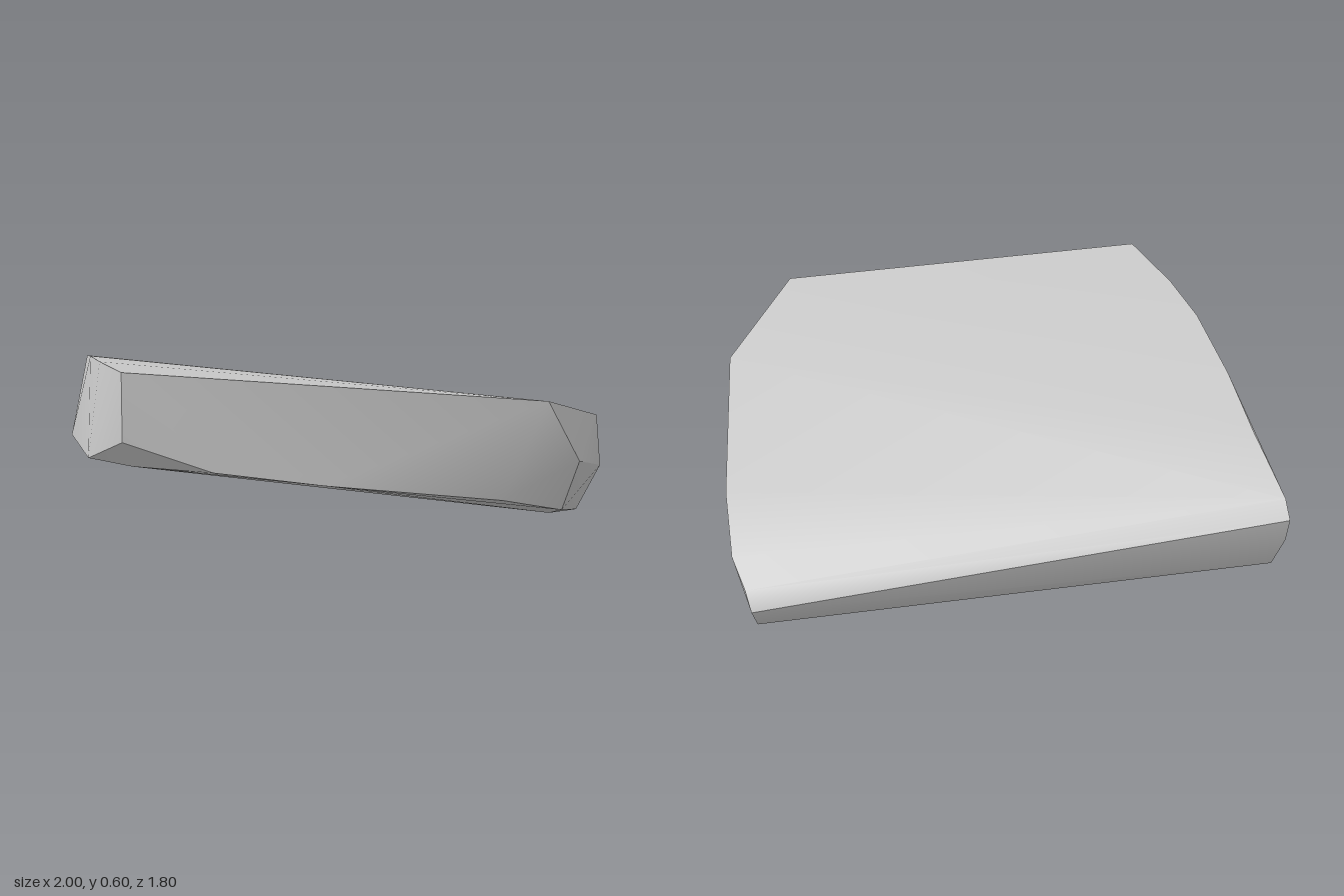
import * as THREE from 'three';
import { ConvexGeometry } from 'three/addons/geometries/ConvexGeometry.js';
import { toCreasedNormals } from 'three/addons/utils/BufferGeometryUtils.js';

const vectors = (rows) => rows.map(([x, y, z]) => new THREE.Vector3(x, y, z));

// A tilted slab of rock: the hull of the corner lines that bound its faces
export function createModel() {
  const stone = new THREE.MeshStandardMaterial({ color: 0xc9c9c9 });
  stone.name = 'light grey stone';

  // upper rim, from the front corner along the left side to the back tip
  const leftRim = vectors([
    [-0.04, 0.6, 0.9], [-0.26, 0.597, 0.7], [-0.42, 0.588, 0.53], [-0.62, 0.555, 0.28],
    [-0.79, 0.518, 0.045], [-0.97, 0.47, -0.18],
  ]);
  // upper rim, from the right corner to the back
  const rightRim = vectors([
    [0.94, 0.52, 0.3], [0.91, 0.43, -0.12], [0.6, 0.3, -0.63], [0.46, 0.23, -0.82],
  ]);
  // rounded back edge, one profile at each end
  const backLeft = vectors([
    [-1, 0.43, -0.22], [-0.99, 0.36, -0.215], [-0.95, 0.26, -0.2], [-0.84, 0.235, 0.03],
  ]);
  const backRight = vectors([
    [0.38, 0.175, -0.88], [0.35, 0.12, -0.9], [0.36, 0.05, -0.86], [0.4, 0, -0.8],
  ]);
  // widest points of the right end
  const rightEnd = vectors([[1, 0.35, 0.22], [0.96, 0.3, -0.03]]);
  // lower rim, around the left, front and right
  const lowerRim = vectors([
    [-0.77, 0.28, 0.17], [-0.26, 0.33, 0.76], [-0.04, 0.41, 0.9], [-0.05, 0.335, 0.84],
    [0.18, 0.33, 0.79], [0.44, 0.295, 0.64], [0.84, 0.25, 0.37],
    [0.95, 0.21, 0.22], [0.84, 0.14, -0.15], [0.57, 0.03, -0.58],
  ]);

  const hull = new ConvexGeometry([
    ...leftRim, ...rightRim, ...backLeft, ...backRight, ...rightEnd, ...lowerRim,
  ]);
  const slab = new THREE.Mesh(toCreasedNormals(hull, THREE.MathUtils.degToRad(32)), stone);
  slab.name = 'rockSlab';

  const group = new THREE.Group();
  group.name = 'rock';
  group.add(slab);
  return group;
}
